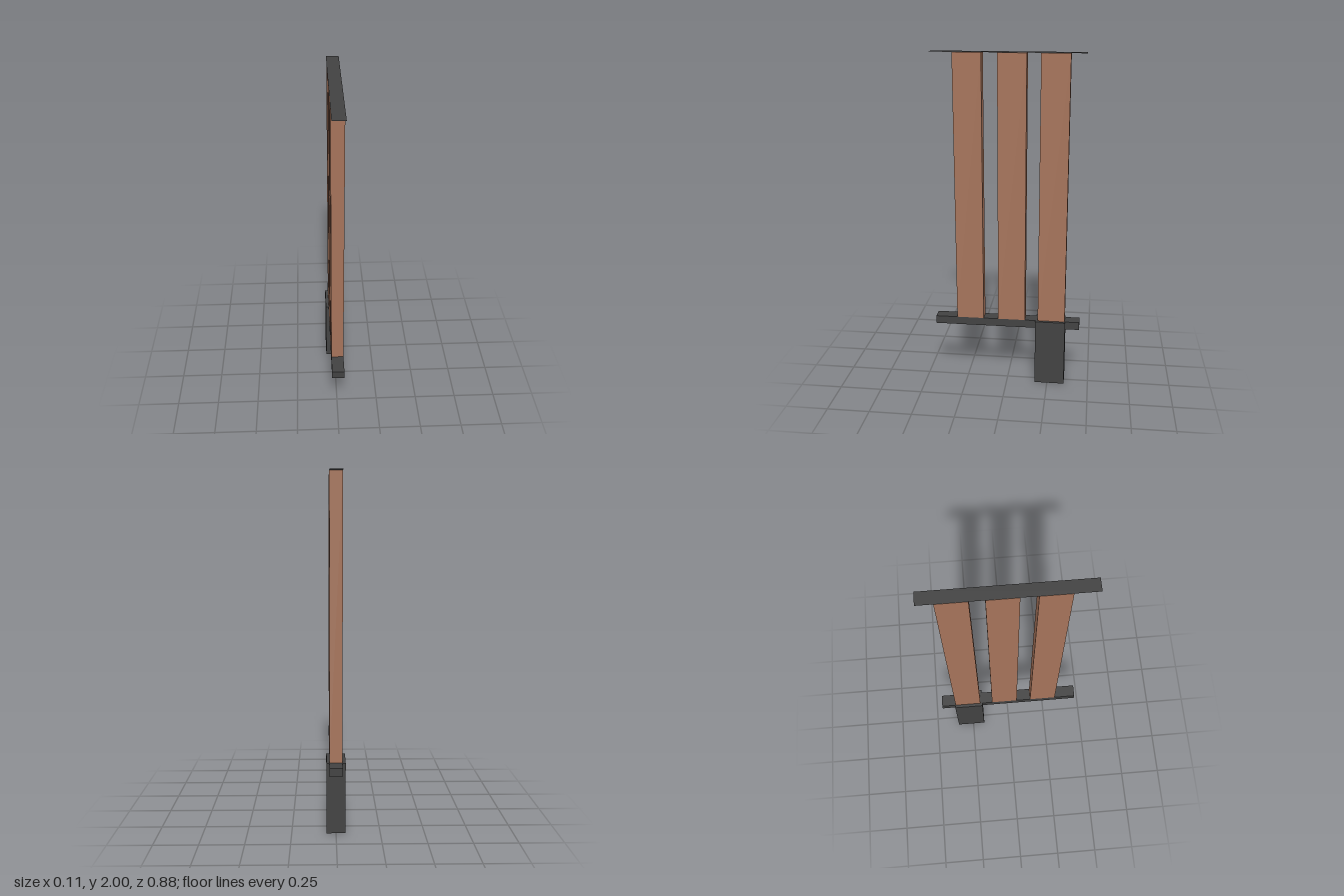
import * as THREE from 'three';

export function createModel() {
  const model = new THREE.Group();
  model.name = 'slattedScreen';

  const wood = new THREE.MeshStandardMaterial({ color: 0xa5735a });
  wood.name = 'brown wood';
  const metal = new THREE.MeshStandardMaterial({ color: 0x424242, side: THREE.DoubleSide });
  metal.name = 'dark grey metal';

  const add = (name, geometry, material, y, z) => {
    const mesh = new THREE.Mesh(geometry, material);
    mesh.name = name;
    mesh.position.set(0, y, z);
    model.add(mesh);
  };

  const width = 0.072, length = 0.876;
  const railBottom = 0.362, railTop = 0.41, top = 2;

  // Lower rail carrying the slats
  add('lowerRail', new THREE.BoxGeometry(width, railTop - railBottom, length), metal,
    (railTop + railBottom) / 2, 0);

  // Thin sheet capping the slats
  add('topPlate', new THREE.PlaneGeometry(width, length).rotateX(-Math.PI / 2), metal, top, 0);

  // Three upright slats, slightly unevenly spaced
  const slatHeight = top - railTop - 0.001;
  [0.225, -0.027, -0.268].forEach((z, i) => {
    add(`slat${i + 1}`, new THREE.BoxGeometry(width, slatHeight, 0.163), wood,
      railTop + slatHeight / 2, z);
  });

  // Hollow support post: box without its bottom face (group 3)
  const post = new THREE.BoxGeometry(0.108, railTop, 0.18);
  const index = Array.from(post.index.array);
  index.splice(post.groups[3].start, post.groups[3].count);
  post.setIndex(index);
  post.clearGroups();
  add('supportPost', post, metal, railTop / 2, -0.263);

  return model;
}
